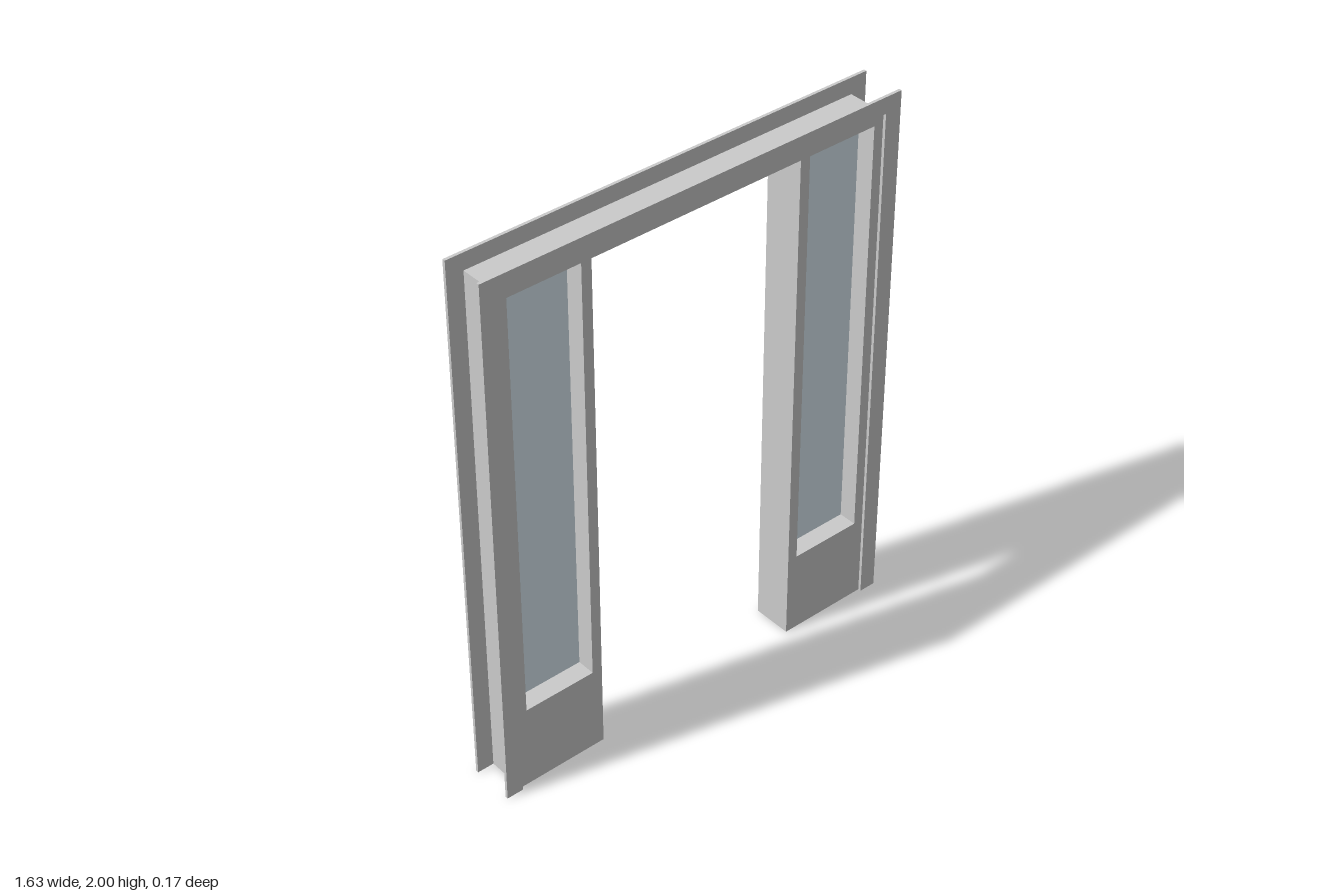
import * as THREE from 'three';

const grey = new THREE.MeshStandardMaterial({ color: 0xcccccc });
const glass = new THREE.MeshStandardMaterial({ color: 0xdcecf4 });

const HALF_DEPTH = 0.073;                 // wall frame, front to centre
const TRIM = 0.011;                       // trim thickness
const PANE = { x: 0.581, y: 1.112, w: 0.27, h: 1.586 };

// Upside-down U: two legs joined by a lintel
function archShape(outerX, outerY, innerX, innerY) {
  return new THREE.Shape([
    [-outerX, 0], [-innerX, 0], [-innerX, innerY], [innerX, innerY],
    [innerX, 0], [outerX, 0], [outerX, outerY], [-outerX, outerY],
  ].map(([x, y]) => new THREE.Vector2(x, y)));
}

function extrude(name, shape, depth, z) {
  const geometry = new THREE.ExtrudeGeometry(shape, { depth, bevelEnabled: false });
  const mesh = new THREE.Mesh(geometry, grey);
  mesh.name = name;
  mesh.position.z = z;
  return mesh;
}

export function createModel() {
  const model = new THREE.Group();
  model.name = 'doorFrameWithSidelights';

  // Main frame with a window opening in each leg
  const frame = archShape(0.754, 1.94, 0.408, 1.905);
  for (const side of [-1, 1]) {
    const x0 = side * PANE.x - PANE.w / 2, x1 = x0 + PANE.w;
    const y0 = PANE.y - PANE.h / 2, y1 = y0 + PANE.h;
    frame.holes.push(new THREE.Path([
      new THREE.Vector2(x0, y0), new THREE.Vector2(x0, y1),
      new THREE.Vector2(x1, y1), new THREE.Vector2(x1, y0),
    ]));
  }
  model.add(extrude('frame', frame, 2 * HALF_DEPTH, -HALF_DEPTH));

  // Flat trim on both faces, standing out past the frame
  const trim = archShape(0.816, 2, 0.753, 1.94);
  model.add(extrude('frontTrim', trim, TRIM, HALF_DEPTH));
  model.add(extrude('backTrim', trim, TRIM, -HALF_DEPTH - TRIM));

  // Glass panes, set mid-depth
  for (const [name, side] of [['leftPane', 1], ['rightPane', -1]]) {
    const pane = new THREE.Mesh(new THREE.BoxGeometry(PANE.w, PANE.h, 0.01), glass);
    pane.name = name;
    pane.position.set(side * PANE.x, PANE.y, 0);
    model.add(pane);
  }
  return model;
}
